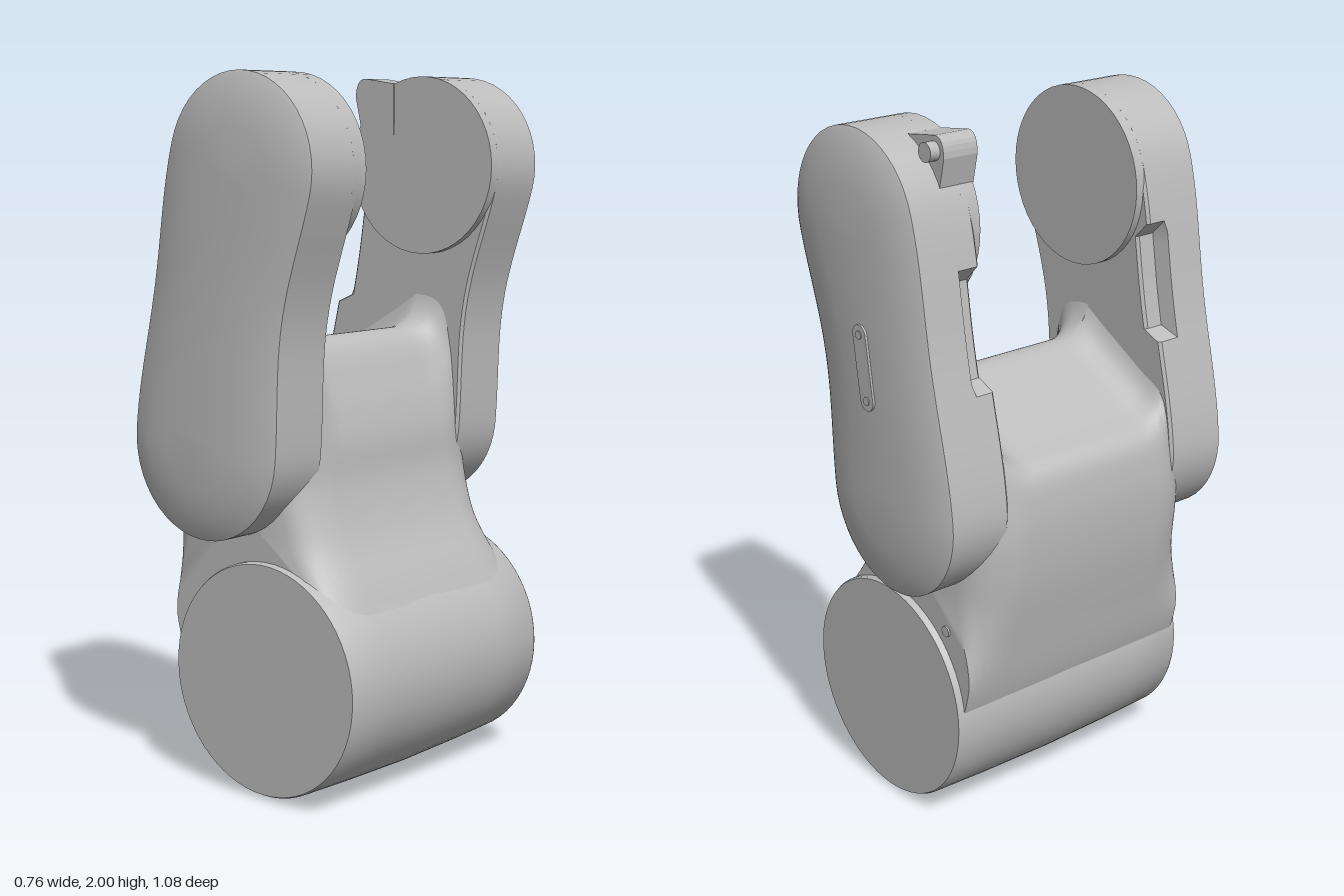
import * as THREE from 'three';
import { toCreasedNormals } from 'three/addons/utils/BufferGeometryUtils.js';

const grey = new THREE.MeshStandardMaterial({ color: 0xbcbcbc });
grey.name = 'satin grey';

const part = (name, geometry) => {
  const mesh = new THREE.Mesh(geometry, grey);
  mesh.name = name;
  return mesh;
};

// Skin through counter-clockwise rings ordered by rising z
function loft(rings, crease = 0.6) {
  const n = rings[0].length;
  const pos = [];
  const ab = new THREE.Vector3(), ac = new THREE.Vector3();
  const tri = (a, b, c) => {
    ab.subVectors(b, a);
    ac.subVectors(c, a);
    if (ab.cross(ac).length() > 1e-9) pos.push(...a.toArray(), ...b.toArray(), ...c.toArray());
  };
  for (let i = 0; i < rings.length - 1; i++) {
    for (let j = 0; j < n; j++) {
      const k = (j + 1) % n;
      const a = rings[i][j], b = rings[i][k], c = rings[i + 1][k], d = rings[i + 1][j];
      tri(a, b, c);
      tri(a, c, d);
    }
  }
  const g = new THREE.BufferGeometry();
  g.setAttribute('position', new THREE.Float32BufferAttribute(pos, 3));
  return toCreasedNormals(g, crease);
}

// Cylinder lying along z
function zCylinder(r, depth, x, y, z, sides = 16) {
  const g = new THREE.CylinderGeometry(r, r, depth, sides).rotateX(Math.PI / 2).translate(x, y, z);
  return toCreasedNormals(g, 0.6);
}

// Curved capsule outline of an arm, shrunk by inset, with an optional pocket in its left edge
const spine = new THREE.QuadraticBezierCurve(
  new THREE.Vector2(-0.1, 0.993), new THREE.Vector2(-0.062, 1.395), new THREE.Vector2(0.039, 1.742));

function armRing(z, inset, pocket = 0) {
  const ring = [];
  const radius = t => Math.max(0.264 - 0.007 * t - 0.022 * Math.sin(Math.PI * t) ** 2 - inset, 0);
  const add = (t, angle, cut = 0) => {
    const p = spine.getPoint(t), r = radius(t) - cut;
    ring.push(new THREE.Vector3(p.x + r * Math.cos(angle), p.y + r * Math.sin(angle), z));
  };
  const heading = t => { const d = spine.getTangent(t); return Math.atan2(d.y, d.x); };
  const N = 24;
  for (let i = 0; i < N; i++) add(i / N, heading(i / N) - Math.PI / 2);
  for (let i = 0; i < N; i++) add(1, heading(1) - Math.PI / 2 + Math.PI * i / N);
  for (let i = 0; i < N; i++) {
    const t = 1 - i / N;
    add(t, heading(t) + Math.PI / 2, t > 0.41 && t < 0.77 ? pocket : 0);
  }
  for (let i = 0; i < N; i++) add(0, heading(0) + Math.PI / 2 + Math.PI * i / N);
  return ring;
}

// Layers from the inner face to the chamfered, gently domed cover: z, inset, pocket
const armLayers = [
  [0.302, 1, 0], [0.302, 0.008, 0.05], [0.31, 0, 0.05], [0.362, 0, 0.05], [0.372, 0, 0],
  [0.494, 0, 0], [0.5, 0.012, 0], [0.519, 0.075, 0], [0.527, 0.14, 0], [0.534, 1, 0]];

function arm(side) {
  const group = new THREE.Group();
  group.name = side > 0 ? 'frontArm' : 'backArm';
  const rings = armLayers.map(([z, inset, pocket]) => armRing(side * z, inset, pocket));
  if (side < 0) rings.reverse();
  group.add(part('armShell', loft(rings, 0.4)));
  group.add(part('jointDisc', zCylinder(0.257, 0.05, 0.039, 1.742, side * 0.303, 48)));
  return group;
}

// Side profile of the link: back edge, humped fork floor, scooped front edge
const profile = new THREE.CatmullRomCurve3([
  [0.04, 0.15], [-0.2, 0.2], [-0.288, 0.38], [-0.335, 0.58], [-0.372, 0.8], [-0.375, 0.98], [-0.35, 1.08],
  [-0.26, 1.13], [-0.1, 1.22], [0, 1.272], [0.06, 1.255], [0.12, 1.13], [0.158, 1], [0.172, 0.87],
  [0.215, 0.73], [0.295, 0.58], [0.35, 0.42], [0.26, 0.2],
].map(([x, y]) => new THREE.Vector3(x, y, 0)), true, 'centripetal').getPoints(110).slice(0, -1).reverse();

function linkRing(z) {
  const { clamp, smoothstep } = THREE.MathUtils;
  const roundOff = v => 1 - Math.sqrt(1 - clamp(v, 0, 1) ** 2);
  const a = Math.abs(z);
  const fillet = roundOff((a - 0.2) / 0.105);
  const end = roundOff((a - 0.25) / 0.152);
  return profile.map(p => {
    // fork floor sweeps up and out into the arms
    const w = fillet * smoothstep(p.y, 0.88, 1.12);
    const dy = 0.12 * w;
    const dx = p.x < 0 ? 0.25 * dy : 0.6 * w * Math.max(0, 0.165 - p.x) * smoothstep(p.x, 0, 0.1);
    // neck ends are rounded and flare into the lower joint
    const shrink = 1 - 0.13 * z * z - 0.4 * end * smoothstep(p.y, 0.45, 0.75);
    return new THREE.Vector3(-0.05 + (p.x + dx + 0.05) * shrink, p.y + dy, z);
  });
}

function link() {
  const rings = [];
  for (let i = -40; i <= 40; i++) rings.push(linkRing(i * 0.01));
  const tip = z => profile.map(() => new THREE.Vector3(-0.05, 0.8, z));
  return part('link', loft([tip(-0.4), ...rings, tip(0.4)], 0.8));
}

// Slightly barrelled lower joint
function lowerJoint() {
  const pts = [[0, -0.42], [0.327, -0.42], [0.331, -0.412], [0.336, -0.25], [0.34, 0],
    [0.336, 0.25], [0.331, 0.412], [0.327, 0.42], [0, 0.42]].map(([r, h]) => new THREE.Vector2(r, h));
  const g = new THREE.LatheGeometry(pts, 64).rotateX(Math.PI / 2).translate(0.042, 0.34, 0);
  return part('lowerJoint', toCreasedNormals(g, 0.6));
}

// Small lug with a bolt at the top of the back arm
function stopLug() {
  const group = new THREE.Group();
  group.name = 'stopLug';
  const shape = new THREE.Shape();
  shape.moveTo(-0.18, 1.83);
  shape.lineTo(-0.06, 1.83);
  shape.lineTo(-0.06, 1.98);
  shape.lineTo(-0.17, 1.996);
  shape.quadraticCurveTo(-0.205, 1.995, -0.205, 1.94);
  const g = new THREE.ExtrudeGeometry(shape, { depth: 0.11, bevelEnabled: false, curveSegments: 6 });
  group.add(part('lug', g.translate(0, 0, -0.385)));
  group.add(part('lugBolt', zCylinder(0.026, 0.04, -0.165, 1.955, -0.395)));
  return group;
}

// Slotted plate with two screws on the outside of the back arm
function coverPlate() {
  const group = new THREE.Group();
  group.name = 'coverPlate';
  const shape = new THREE.Shape();
  shape.absarc(0, 0.09, 0.028, 0, Math.PI, false);
  shape.absarc(0, -0.09, 0.028, Math.PI, Math.PI * 2, false);
  const g = new THREE.ExtrudeGeometry(shape, { depth: 0.014, bevelEnabled: false, curveSegments: 10 });
  group.add(part('plate', g));
  for (const y of [-0.09, 0.09]) group.add(part('plateScrew', zCylinder(0.012, 0.006, 0, y, 0)));
  group.position.set(-0.045, 1.375, -0.539);
  group.rotation.z = -0.15;
  return group;
}

// Eyelet in the neck below the back arm
function neckEyelet() {
  const group = new THREE.Group();
  group.name = 'neckEyelet';
  group.add(part('eyeletRing', new THREE.TorusGeometry(0.03, 0.01, 8, 20)));
  group.add(part('eyeletPin', zCylinder(0.016, 0.06, 0, 0, 0.015)));
  group.position.set(-0.21, 0.615, -0.39);
  return group;
}

export function createModel() {
  const model = new THREE.Group();
  model.name = 'robotArmLink';
  model.add(lowerJoint(), link(), arm(1), arm(-1), stopLug(), coverPlate(), neckEyelet());
  return model;
}
